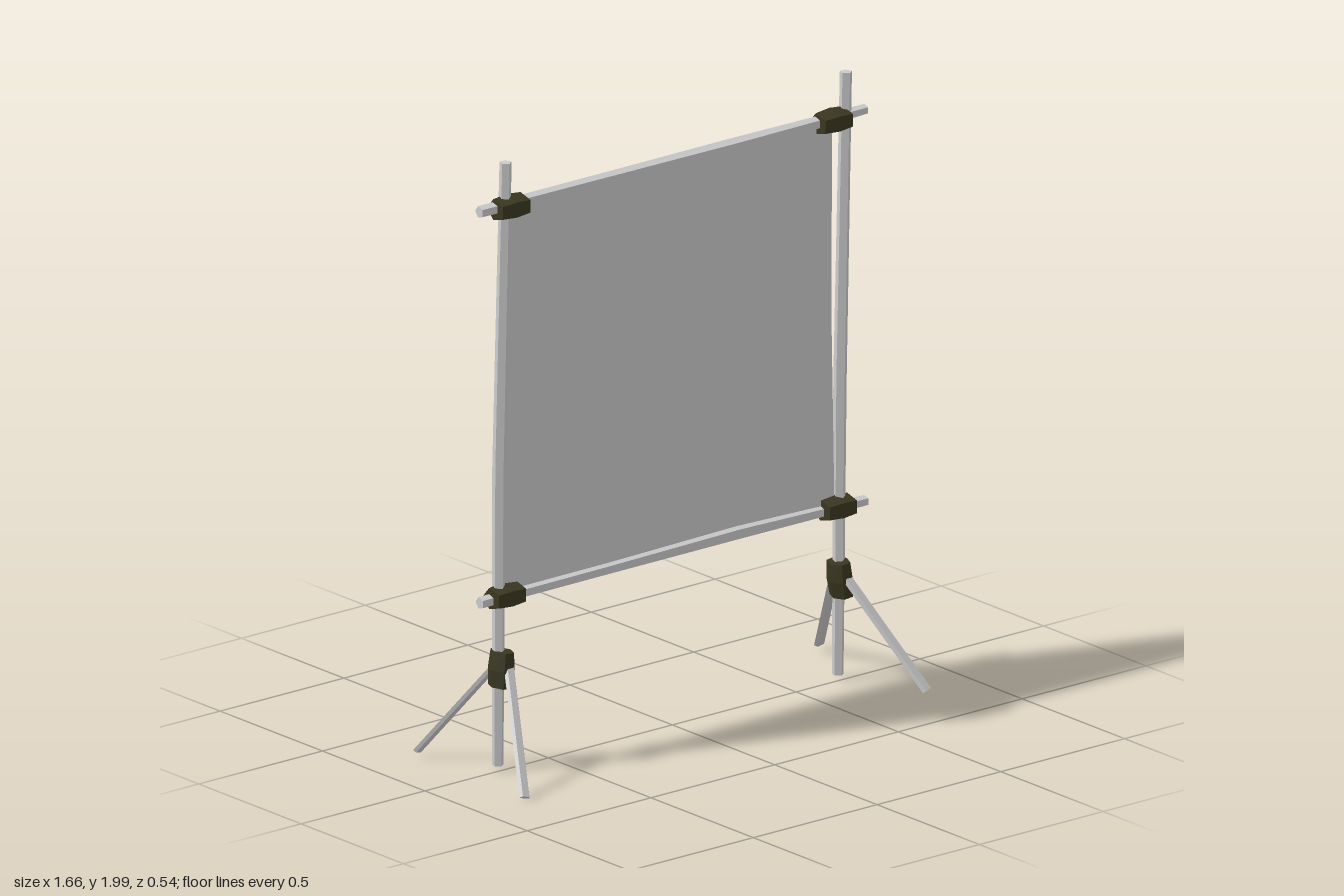
import * as THREE from 'three';

const wood = new THREE.MeshStandardMaterial({ color: 0xcccccc, flatShading: true });
const cloth = new THREE.MeshStandardMaterial({ color: 0xcccccc, side: THREE.DoubleSide });
const rope = new THREE.MeshStandardMaterial({ color: 0x3a3720, flatShading: true });

// Faceted rod through evenly spaced sections [x, y, z, radiusU, radiusV].
// u lies across the rod, as close to uHint as possible; v completes the frame.
function rod(name, sections, material, uHint, spin = 0, sides = 5) {
  const n = sections.length - 1;
  const centres = sections.map(s => new THREE.Vector3(s[0], s[1], s[2]));
  const axis = centres[n].clone().sub(centres[0]).normalize();
  const u = uHint.clone().addScaledVector(axis, -uHint.dot(axis)).normalize();
  const v = new THREE.Vector3().crossVectors(u, axis);
  const geo = new THREE.CylinderGeometry(1, 1, n, sides, n, false, spin);
  const pos = geo.attributes.position;
  const p = new THREE.Vector3();
  for (let i = 0; i < pos.count; i++) {
    const k = Math.round(pos.getY(i) + n / 2);
    const ru = sections[k][3], rv = sections[k][4] ?? ru;
    p.copy(centres[k]).addScaledVector(u, pos.getX(i) * ru).addScaledVector(v, pos.getZ(i) * rv);
    pos.setXYZ(i, p.x, p.y, p.z);
  }
  geo.computeVertexNormals();
  const mesh = new THREE.Mesh(geo, material);
  mesh.name = name;
  return mesh;
}

export function createModel() {
  const model = new THREE.Group();
  const X = new THREE.Vector3(1, 0, 0);
  const Z = new THREE.Vector3(0, 0, 1);

  // Slightly crooked upright posts
  model.add(
    rod('rightPost', [[-0.697, 0.025, -0.01, 0.019], [-0.69, 1.0, -0.012, 0.022], [-0.665, 2, -0.01, 0.02]], wood, X),
    rod('leftPost', [[0.677, 0.025, -0.01, 0.019], [0.688, 1.0, -0.012, 0.022], [0.71, 2, -0.01, 0.02]], wood, X));

  // Crossbars, a little thicker along the middle
  model.add(
    rod('topCrossbar', [[-0.77, 1.857, -0.012, 0.02], [-0.25, 1.855, -0.012, 0.022],
      [0.27, 1.85, -0.013, 0.028, 0.024], [0.79, 1.858, -0.012, 0.017]], wood, X.clone().set(0, 1, 0)),
    rod('bottomCrossbar', [[-0.77, 0.572, -0.01, 0.02], [-0.25, 0.574, -0.012, 0.021],
      [0.27, 0.578, -0.013, 0.026, 0.023], [0.79, 0.571, -0.012, 0.018]], wood, X.clone().set(0, 1, 0)));

  // Stretched cloth panel, leaving a narrow gap beside the left post
  const outline = new THREE.Shape();
  outline.moveTo(-0.685, 0.575);
  outline.lineTo(0.665, 0.575);
  outline.lineTo(0.653, 1.2);
  outline.lineTo(0.655, 1.85);
  outline.lineTo(-0.66, 1.85);
  outline.lineTo(-0.685, 1.2);
  const panel = new THREE.Mesh(new THREE.ShapeGeometry(outline), cloth);
  panel.name = 'clothPanel';
  panel.position.z = -0.012;
  model.add(panel);

  // Rope lashings where crossbars meet posts, pointed at the back
  for (const [x, y] of [[-0.655, 1.852], [0.648, 1.852], [-0.672, 0.577], [0.665, 0.577]]) {
    model.add(rod('crossbarLashing', [[x - 0.055, y, -0.003, 0.043, 0.036],
      [x, y, -0.003, 0.047, 0.042], [x + 0.055, y, -0.003, 0.043, 0.036]], rope, Z, -Math.PI / 2));
  }

  // Each post: a leg lashing and two splayed flat legs
  for (const side of [-1, 1]) {
    const x = side < 0 ? -0.688 : 0.676;
    model.add(rod('legLashing', [[x - side * 0.003, 0.4, -0.002, 0.034, 0.043],
      [x + side * 0.002, 0.34, -0.002, 0.04, 0.047], [x + side * 0.008, 0.285, -0.002, 0.032, 0.043]],
    rope, X, Math.PI / 6, 6));
    for (const end of [-1, 1]) {
      const foot = end > 0 ? 0.014 : 0.03;
      model.add(rod(end > 0 ? 'frontLeg' : 'backLeg',
        [[side * 0.677, 0.365, end * 0.02, 0.02, 0.009], [side * 0.813, foot, end * 0.263, 0.02, 0.009]],
        wood, X));
    }
  }
  return model;
}
